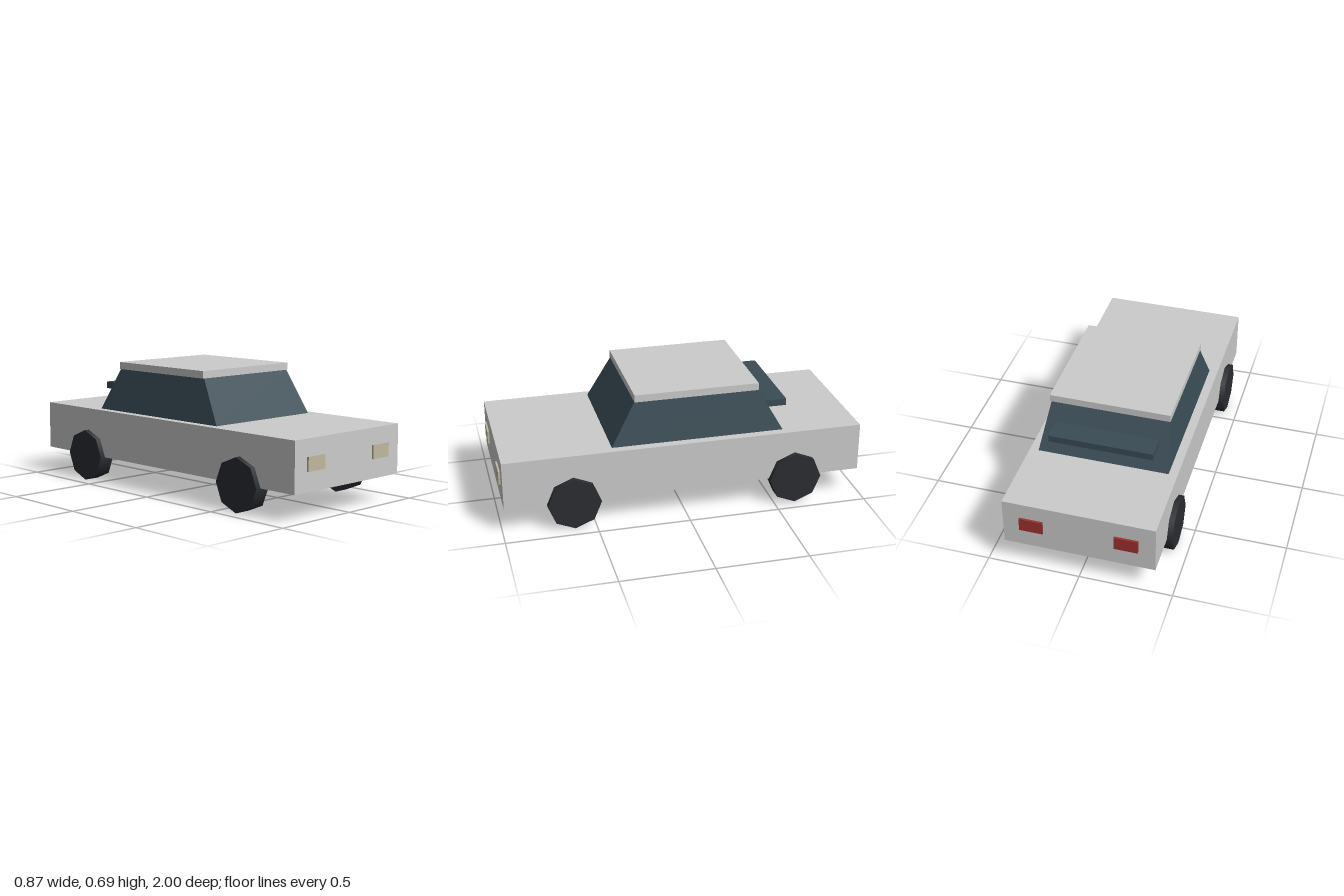
import * as THREE from 'three';

const paint = (color) => new THREE.MeshStandardMaterial({ color });

export function createModel() {
  const car = new THREE.Group();
  car.name = 'car';
  const grey = paint(0xcccccc);
  const glass = paint(0x3a4c56);
  const rubber = paint(0x2a2d32);
  const headlightColor = paint(0xc0b9a0);
  const taillightColor = paint(0xa03030);

  const add = (name, geometry, material, x, y, z) => {
    const mesh = new THREE.Mesh(geometry, material);
    mesh.name = name;
    mesh.position.set(x, y, z);
    car.add(mesh);
    return mesh;
  };

  // Box given by its low and high corners
  const addBox = (name, material, [x0, y0, z0], [x1, y1, z1]) =>
    add(name, new THREE.BoxGeometry(x1 - x0, y1 - y0, z1 - z0), material,
      (x0 + x1) / 2, (y0 + y1) / 2, (z0 + z1) / 2);

  // Main body and roof slab
  addBox('body', grey, [-0.405, 0.146, -0.988], [0.405, 0.415, 0.988]);
  addBox('roof', grey, [-0.328, 0.651, -0.42], [0.328, 0.691, 0.263]);

  // Window block, tapering from the body up to the roof
  const cabin = new THREE.BoxGeometry(2, 0.236, 2);
  const p = cabin.attributes.position;
  for (let i = 0; i < p.count; i++) {
    const top = p.getY(i) > 0;
    const front = p.getZ(i) > 0;
    p.setX(i, Math.sign(p.getX(i)) * (top ? 0.32 : 0.357));
    p.setZ(i, front ? (top ? 0.263 : 0.395) : (top ? -0.42 : -0.555));
  }
  cabin.computeVertexNormals();
  add('cabinWindows', cabin, glass, 0, 0.533, 0);

  // Spoiler projecting from the rear window
  addBox('spoiler', glass, [-0.283, 0.524, -0.595], [0.283, 0.562, -0.45]);

  // Eight-sided wheels and the lamps, mirrored left and right
  const wheel = new THREE.CylinderGeometry(0.145, 0.145, 0.09, 8);
  wheel.rotateZ(Math.PI / 2);
  for (const side of [1, -1]) {
    const label = side > 0 ? 'Left' : 'Right';
    add('frontWheel' + label, wheel, rubber, side * 0.39, 0.145, 0.615);
    add('rearWheel' + label, wheel, rubber, side * 0.39, 0.145, -0.615);
    const lamp = new THREE.BoxGeometry(0.126, 0.075, 0.024);
    add('headlight' + label, lamp, headlightColor, side * 0.252, 0.288, 0.986);
    add('taillight' + label, lamp, taillightColor, side * 0.252, 0.288, -0.988);
  }
  return car;
}
